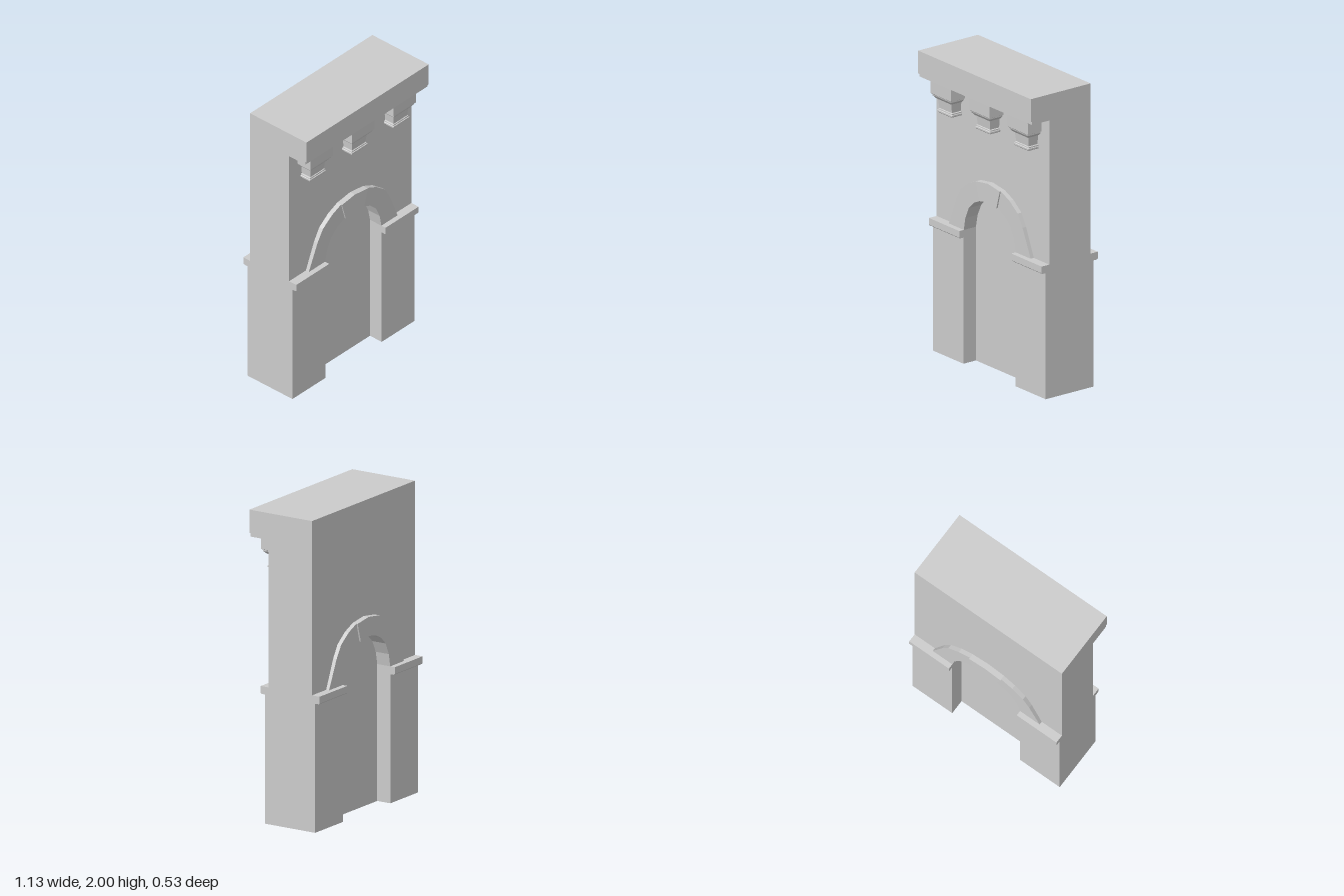
import * as THREE from 'three';

const W = 0.565;
const material = new THREE.MeshStandardMaterial({ color: 0xcccccc, flatShading: true });

// Arch curves from springing to crown, right half only
const INNER = [[0.26, 0.88], [0.243, 0.963], [0.206, 1.04], [0.153, 1.09], [0.085, 1.122], [0, 1.138]];
const OUTER = [[0.41, 0.88], [0.333, 1.063], [0.286, 1.143], [0.205, 1.205], [0.12, 1.243], [0, 1.26]];
const flip = pts => pts.map(([x, y]) => [-x, y]);
const back = pts => pts.slice().reverse();

function extrude(points, z0, z1) {
  const shape = new THREE.Shape(points.map(([x, y]) => new THREE.Vector2(x, y)));
  const geo = new THREE.ExtrudeGeometry(shape, { depth: z1 - z0, bevelEnabled: false });
  return geo.translate(0, 0, z0);
}

function box(x0, x1, y0, y1, z0, z1) {
  return new THREE.BoxGeometry(x1 - x0, y1 - y0, z1 - z0)
    .translate((x0 + x1) / 2, (y0 + y1) / 2, (z0 + z1) / 2);
}

// Extrudes a side profile of [z, y] points along x
function moulding(profile, x0, x1) {
  return extrude(profile.map(([z, y]) => [-z, y]), x0, x1).rotateY(Math.PI / 2);
}

// Stacked rectangular sections [halfWidth, frontZ, y], top to bottom
function loft(sections, zBack) {
  const pos = [], idx = [];
  for (const [w, z, y] of sections) pos.push(-w, y, zBack, -w, y, z, w, y, z, w, y, zBack);
  const last = (sections.length - 1) * 4;
  for (let i = 0; i < last; i += 4) {
    for (let k = 0; k < 4; k++) {
      const a = i + k, b = i + (k + 1) % 4;
      idx.push(a, a + 4, b, b, a + 4, b + 4);
    }
  }
  idx.push(0, 1, 2, 0, 2, 3, last, last + 2, last + 1, last, last + 3, last + 2);
  const geo = new THREE.BufferGeometry();
  geo.setAttribute('position', new THREE.Float32BufferAttribute(pos, 3));
  geo.setIndex(idx);
  const flat = geo.toNonIndexed();
  flat.computeVertexNormals();
  return flat;
}

export function createModel() {
  const group = new THREE.Group();
  const add = (name, geo, x = 0) => {
    const mesh = new THREE.Mesh(geo, material);
    mesh.name = name;
    mesh.position.x = x;
    group.add(mesh);
  };

  // Upper wall with the arched opening
  const opening = [...INNER, ...back(flip(INNER)).slice(1)];
  add('wall', extrude([
    [W, 0.83], [W, 2], [-W, 2], [-W, 0.83], [-0.26, 0.83], ...back(opening), [0.26, 0.83],
  ], -0.205, 0.12));

  // Blind panel recessed inside the opening on both faces
  add('recessedPanel', extrude([[0.26, 0], ...opening, [-0.26, 0]], -0.13, 0.05));

  // Piers and impost bands
  const impost = [
    [0.18, 0.88], [-0.262, 0.88], [-0.262, 0.836], [-0.256, 0.83], [0.174, 0.83], [0.18, 0.836],
  ];
  for (const s of [-1, 1]) {
    const [x0, x1] = s < 0 ? [-W, -0.26] : [0.26, W];
    add(s < 0 ? 'rightPier' : 'leftPier', box(x0, x1, 0, 0.83, -0.228, 0.148));
    add(s < 0 ? 'rightImpost' : 'leftImpost', moulding(impost, x0, x1));
  }

  // Arch surround: two curved flanks and a prouder keystone, on both faces
  const flank = [...OUTER.slice(0, 5), ...back(INNER.slice(0, 5))];
  const key = [
    ...OUTER.slice(4), ...back(flip(OUTER.slice(4))).slice(1),
    ...flip(INNER.slice(4)), ...back(INNER.slice(4)).slice(1),
  ];
  for (const [side, z0, z1] of [['front', 0.1, 0.145], ['back', -0.227, -0.19]]) {
    for (const s of [-1, 1]) {
      const geo = extrude(s > 0 ? flank : back(flip(flank)), z0, z1);
      // The exposed face swells slightly toward the crown
      const p = geo.attributes.position;
      const face = side === 'front' ? z1 : z0;
      for (let i = 0; i < p.count; i++) {
        if (Math.abs(p.getZ(i) - face) < 1e-4) {
          p.setZ(i, face + Math.sign(face) * 0.02 * (p.getY(i) - 0.88));
        }
      }
      geo.computeVertexNormals();
      add(side + (s > 0 ? 'LeftArch' : 'RightArch'), geo);
    }
    add(side + 'Keystone', side === 'front' ? extrude(key, z0, 0.16) : extrude(key, -0.243, z1));
  }

  // Overhanging cornice with a stepped lower edge
  add('cornice', moulding([
    [0.265, 2], [0.1, 2], [0.1, 1.828], [0.255, 1.828], [0.255, 1.85], [0.265, 1.85],
  ], -W, W));

  // Corbels under the cornice
  const sections = [
    [0.104, 0.23, 1.83], [0.104, 0.228, 1.735], [0.094, 0.222, 1.73], [0.094, 0.22, 1.722],
    [0.076, 0.205, 1.703], [0.068, 0.197, 1.7], [0.062, 0.19, 1.64], [0.07, 0.195, 1.637],
    [0.07, 0.195, 1.63], [0.074, 0.2, 1.627], [0.074, 0.2, 1.618], [0.069, 0.196, 1.613],
  ];
  for (const x of [-0.385, 0, 0.385]) add('corbel', loft(sections, 0.1), x);

  return group;
}
